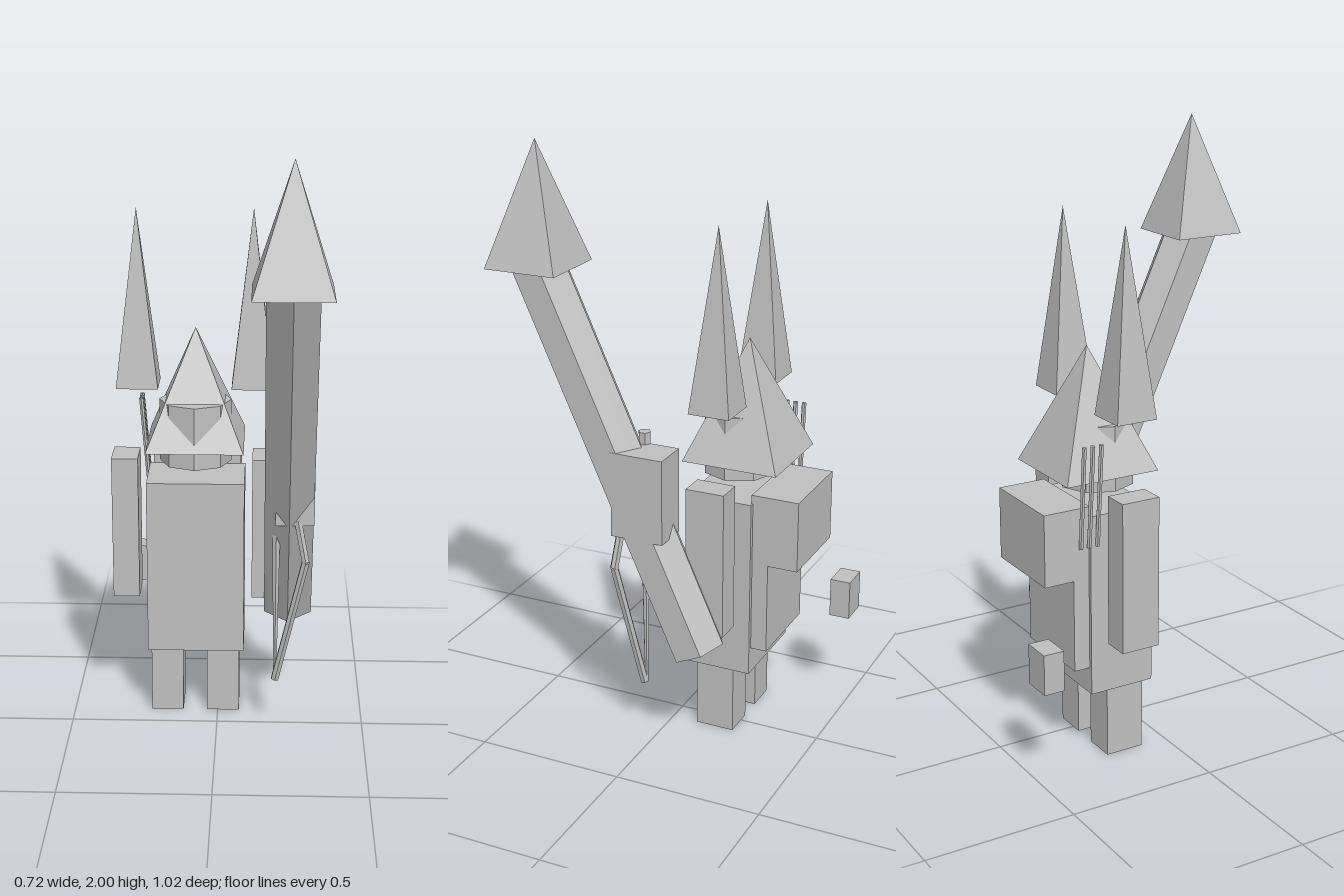
import * as THREE from 'three';

export function createModel() {
  const model = new THREE.Group();
  const grey = new THREE.MeshStandardMaterial({ color: 0xc0c0c0, flatShading: true });
  grey.name = 'plain grey';

  const add = (name, geometry) => {
    const mesh = new THREE.Mesh(geometry, grey);
    mesh.name = name;
    model.add(mesh);
    return mesh;
  };

  // Box given by its limits on each axis
  const box = (name, [x0, x1], [y0, y1], [z0, z1]) =>
    add(name, new THREE.BoxGeometry(x1 - x0, y1 - y0, z1 - z0))
      .position.set((x0 + x1) / 2, (y0 + y1) / 2, (z0 + z1) / 2);

  // Square pyramid with its sides along the axes
  const pyramid = (name, x, z, width, y0, y1) => {
    const g = new THREE.ConeGeometry(width / Math.SQRT2, y1 - y0, 4);
    g.rotateY(Math.PI / 4);
    add(name, g).position.set(x, (y0 + y1) / 2, z);
  };

  // Prism or tapered rod between two points
  const up = new THREE.Vector3(0, 1, 0);
  const rod = (name, from, to, r0, r1 = r0, sides = 6) => {
    const a = new THREE.Vector3(...from), b = new THREE.Vector3(...to);
    const dir = b.clone().sub(a);
    const mesh = add(name, new THREE.CylinderGeometry(r1, r0, dir.length(), sides));
    mesh.position.copy(a).add(b).multiplyScalar(0.5);
    mesh.quaternion.setFromUnitVectors(up, dir.normalize());
  };

  // Body, legs and arms
  box('body', [-0.24, 0.09], [0.24, 0.85], [-0.285, -0.06]);
  box('rightLeg', [-0.23, -0.12], [0, 0.24], [-0.222, -0.09]);
  box('leftLeg', [-0.037, 0.074], [0, 0.24], [-0.222, -0.09]);
  box('rightArm', [-0.36, -0.27], [0.42, 0.92], [-0.24, -0.108]);
  box('leftArm', [0.116, 0.207], [0.42, 0.92], [-0.24, -0.108]);

  // Backpack with a lower panel and a loose pouch
  box('backpack', [-0.228, 0.075], [0.64, 0.88], [-0.442, -0.28]);
  box('backPanel', [-0.228, 0.075], [0.33, 0.65], [-0.34, -0.28]);
  box('pouch', [-0.347, -0.245], [0.34, 0.475], [-0.513, -0.443]);

  // Eight-sided head under a pointed hat
  rod('head', [-0.077, 0.9, -0.171], [-0.077, 1.115, -0.171], 0.122, 0.122, 8);
  pyramid('hat', -0.077, -0.202, 0.328, 0.96, 1.355);

  // Spikes floating over the shoulders
  for (const [name, x] of [['rightSpike', -0.269], ['leftSpike', 0.115]])
    pyramid(name, x, -0.175, 0.14, 1.165, 1.76);

  // Slanted launcher with its tip and side housing
  rod('launcherTube', [0.2405, 0.38, -0.172], [0.2385, 1.645, 0.404], 0.0935);
  pyramid('launcherTip', 0.238, 0.386, 0.246, 1.605, 2);
  box('launcherHousing', [0.195, 0.322], [0.765, 1.05], [-0.08, 0.1]);

  // Bent handle and thin strut beside the launcher
  rod('handleUpper', [0.268, 0.78, 0.09], [0.295, 0.64, 0.105], 0.014);
  rod('handleLower', [0.295, 0.64, 0.105], [0.198, 0.19, 0.048], 0.014);
  rod('strut', [0.198, 0.19, 0.04], [0.198, 1.09, 0.04], 0.006, 0.021);

  // Three thin rods beside the backpack
  for (const z of [-0.32, -0.29, -0.26])
    rod('backRod', [-0.24, 0.75, z], [-0.267, 1.09, z], 0.008);

  return model;
}
